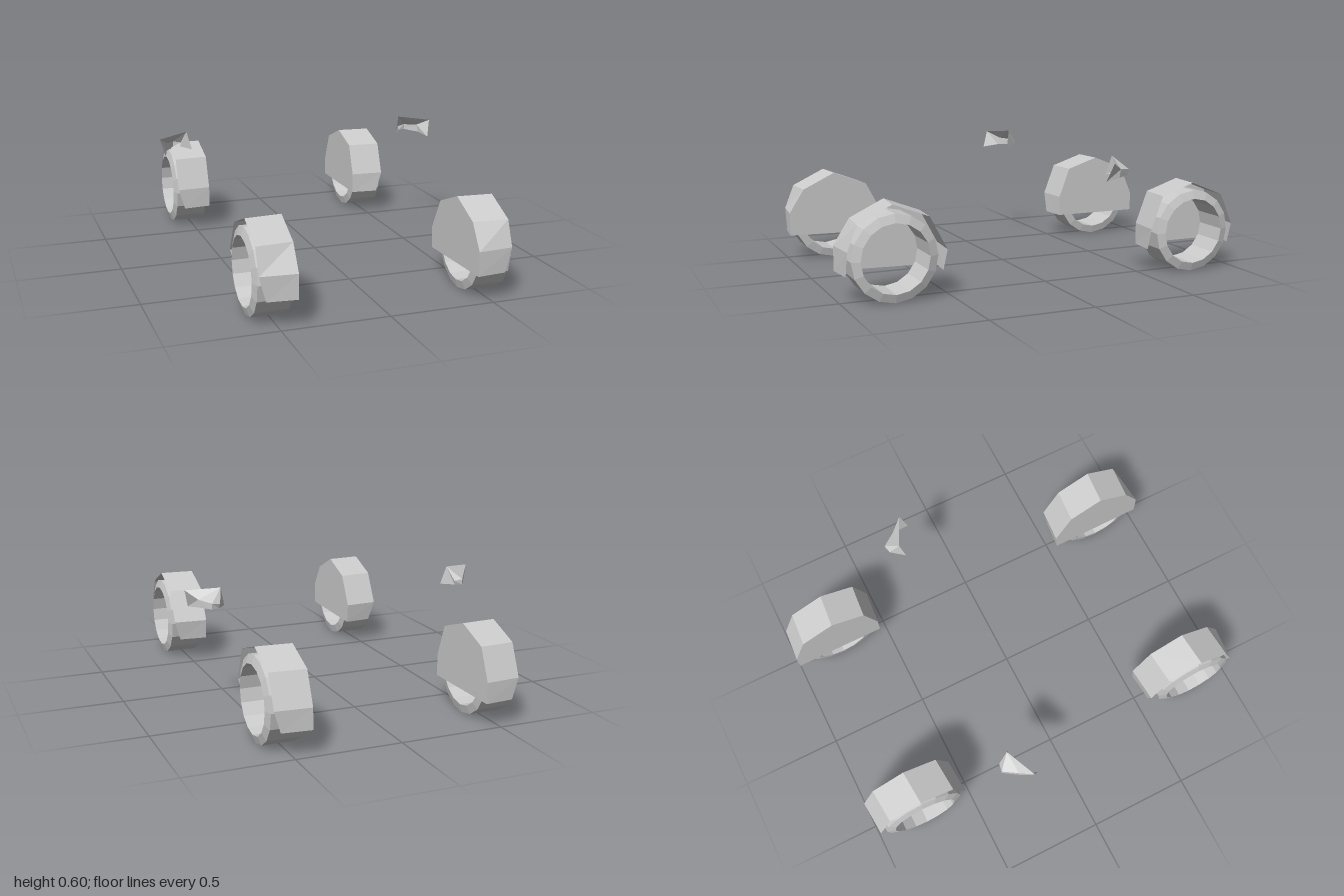
import * as THREE from 'three';

const material = new THREE.MeshStandardMaterial({ color: 0xcccccc, flatShading: true, side: THREE.DoubleSide });

// Flat-shaded mesh from corner points and polygons (each split as a fan)
function polyMesh(name, points, faces) {
  const pos = [];
  for (const f of faces) {
    for (let i = 1; i < f.length - 1; i++) pos.push(...points[f[0]], ...points[f[i]], ...points[f[i + 1]]);
  }
  const geo = new THREE.BufferGeometry();
  geo.setAttribute('position', new THREE.Float32BufferAttribute(pos, 3));
  geo.computeVertexNormals();
  const mesh = new THREE.Mesh(geo, material);
  mesh.name = name;
  return mesh;
}

// Hollow 16-sided ring with slanted sidewalls
function tire(side, z) {
  const profile = [[0.16, 0.425], [0.2, 0.435], [0.2, 0.592], [0.16, 0.605], [0.16, 0.425]];
  const geo = new THREE.LatheGeometry(profile.map(([r, x]) => new THREE.Vector2(r, x)), 16);
  geo.rotateZ(-side * Math.PI / 2);
  const mesh = new THREE.Mesh(geo, material);
  mesh.name = 'tire';
  mesh.position.set(0, 0.205, z);
  return mesh;
}

// Wheel well: inner plate plus an arched strip reaching outward, open below
function wheelWell(side, arch) {
  const n = arch.length;
  const inner = arch.map(([z, y]) => [side * 0.42, y, z]);
  const outer = arch.map(([z, y]) => [
    side * (y < 0.2 ? 0.56 : 0.59), y, z + (z > 0.97 ? -0.015 : 0.013),
  ]);
  const plate = inner.map((_, i) => (side > 0 ? n - 1 - i : i));
  const faces = [plate];
  for (let i = 0; i < n - 1; i++) {
    const quad = [i, i + 1, n + i + 1, n + i];
    faces.push(side > 0 ? quad : quad.reverse());
  }
  return polyMesh('wheelWell', [...inner, ...outer], faces);
}

// Mirror housing: faceted shell, hollow toward the front and open below
function mirrorHousing(side) {
  const points = [
    [0.59, 0.6, -0.3], [0.742, 0.585, -0.23], [0.72, 0.5, -0.2], [0.568, 0.51, -0.28],
    [0.61, 0.535, -0.35], [0.65, 0.542, -0.357], [0.695, 0.55, -0.29],
    [0.615, 0.515, -0.345], [0.65, 0.515, -0.357], [0.7, 0.512, -0.28],
  ].map(([x, y, z]) => [side * x, y, z]);
  const faces = [
    [0, 5, 4], [0, 6, 5], [0, 1, 6],
    [1, 2, 9, 6], [0, 4, 7, 3], [4, 5, 8, 7], [5, 6, 9, 8],
  ];
  return polyMesh('mirrorHousing', points, side > 0 ? faces.map(f => [...f].reverse()) : faces);
}

export function createModel() {
  const group = new THREE.Group();
  group.name = 'wheelAndMirrorSet';
  // Arch outlines as [z, y], from the front end to the rear end
  const axles = [
    { z: 0.77, arch: [[1, 0.135], [1, 0.25], [0.925, 0.368], [0.765, 0.445], [0.595, 0.38], [0.512, 0.225], [0.522, 0.125]] },
    { z: -0.757, arch: [[-0.54, 0.125], [-0.54, 0.23], [-0.6, 0.387], [-0.768, 0.442], [-0.935, 0.375], [-1, 0.225], [-1, 0.125]] },
  ];
  for (const side of [1, -1]) {
    for (const { z, arch } of axles) group.add(tire(side, z), wheelWell(side, arch));
    group.add(mirrorHousing(side));
  }
  return group;
}
